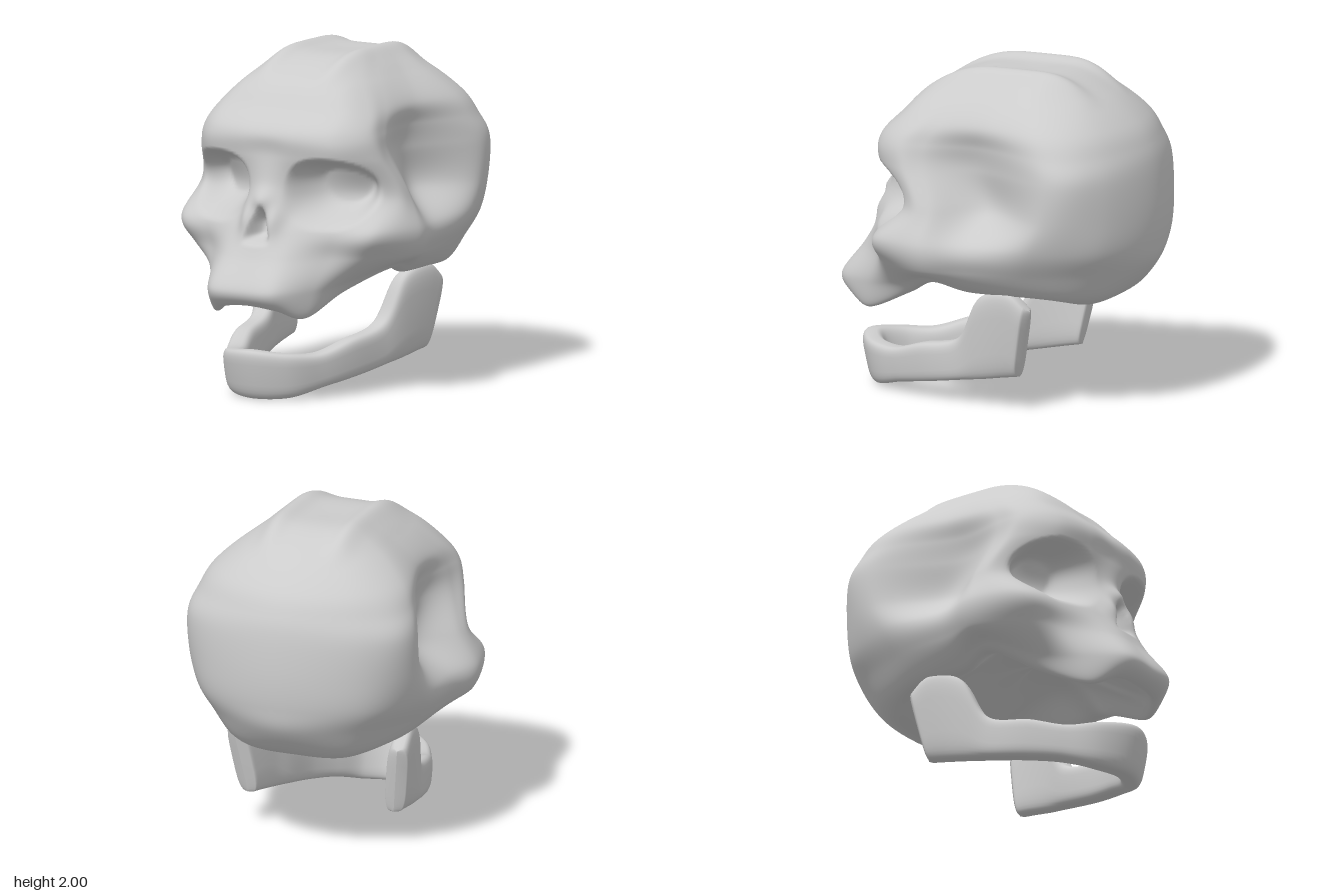
import * as THREE from 'three';

const material = new THREE.MeshStandardMaterial({ color: 0xcccccc, roughness: 0.8, side: THREE.DoubleSide });
const smooth = THREE.MathUtils.smoothstep;
const bell = (d, w) => Math.exp(-((d / w) ** 2));

// Horizontal half outlines of the skull, from the front midline round the side to the back
const craniumSections = [
  { y: 1.96, x: [0, .12, .2, .25, .26, .26, .24, .15, 0], z: [.13, .12, .09, .03, -.08, -.2, -.35, -.42, -.43] },
  { y: 1.85, x: [0, .18, .31, .38, .41, .42, .43, .29, 0], z: [.4, .4, .35, .24, .08, -.15, -.4, -.6, -.67] },
  { y: 1.7, x: [0, .2, .41, .51, .53, .54, .6, .41, 0], z: [.56, .56, .5, .36, .2, -.08, -.48, -.74, -.85] },
  { y: 1.57, x: [0, .2, .43, .57, .57, .52, .67, .47, 0], z: [.68, .68, .62, .46, .28, -.05, -.52, -.8, -.93] },
  { y: 1.43, x: [0, .2, .45, .61, .6, .5, .715, .51, 0], z: [.68, .68, .62, .44, .28, -.05, -.56, -.84, -.97] },
];
const faceSections = [
  { y: 1.2, x: [0, .2, .43, .66, .69, .52, .72, .51, 0], z: [.72, .64, .53, .36, .2, -.1, -.53, -.85, -.99] },
  { y: 1.0, x: [0, .2, .44, .68, .79, .72, .715, .5, 0], z: [.79, .74, .64, .55, .25, -.02, -.45, -.83, -.98] },
  { y: .85, x: [0, .2, .4, .6, .75, .7, .65, .44, 0], z: [.86, .83, .66, .53, .25, 0, -.4, -.78, -.94] },
];
// The rim and the underside follow a wavy height
const baseSections = [
  { y: [.66, .66, .66, .7, .79, .74, .71, .69, .69], x: [0, .22, .36, .46, .64, .6, .54, .36, 0], z: [.98, .96, .74, .5, .25, 0, -.4, -.71, -.8] },
  { y: [.57, .55, .5, .63, .75, .7, .7, .63, .62], x: [0, .19, .31, .38, .53, .48, .44, .28, 0], z: [.9, .88, .74, .45, .22, 0, -.35, -.6, -.64] },
  { y: [.62, .62, .62, .76, .86, .84, .77, .67, .65], x: [0, .13, .18, .22, .31, .29, .26, .15, 0], z: [.76, .75, .66, .4, .2, 0, -.22, -.43, -.48] },
];

// Grid surface: rows run along the form, columns close round it
function gridGeometry(rows, cols, pointAt) {
  const positions = [], index = [];
  for (let i = 0; i <= rows; i++) {
    for (let j = 0; j < cols; j++) positions.push(...pointAt(i / rows, j / cols));
  }
  for (let i = 0; i < rows; i++) {
    for (let j = 0; j < cols; j++) {
      const k = (j + 1) % cols;
      const a = i * cols + j, b = a + cols, c = i * cols + k, d = c + cols;
      index.push(a, b, c, c, b, d);
    }
  }
  const geometry = new THREE.BufferGeometry();
  geometry.setAttribute('position', new THREE.Float32BufferAttribute(positions, 3));
  geometry.setIndex(index);
  geometry.computeVertexNormals();
  return geometry;
}

function catmull(a, b, c, d, t) {
  return b + 0.5 * t * (c - a + t * (2 * a - 5 * b + 4 * c - d + t * (3 * (b - c) + d - a)));
}
const blend = (p, t) => [0, 1, 2].map((k) => catmull(p[0][k], p[1][k], p[2][k], p[3][k], t));

// Sockets, nose and crests pressed into the smooth skull
function sculpt([x, y, z]) {
  const ax = Math.abs(x);
  if (z > 0.2) {
    // Sharp under the brow, a gentle slope towards the cheek
    const ex = Math.abs(ax - 0.375) / 0.25;
    const ey = Math.abs(y - 1.225 - 0.03 * (0.38 - ax)) / 0.21;
    const edge = (ex ** 2.4 + ey ** 2.4) ** (1 / 2.4);
    const floor = 0.3 + 0.35 * smooth(y, 1.1, 1.42);
    z -= 0.2 * (1 - smooth(edge, floor, 1.04));
  }
  if (z > 0.5) {
    // Nasal bridge and rim, then the opening between them
    z += 0.04 * bell(x, 0.08) * bell(y - 1.18, 0.06);
    z += 0.04 * bell(ax - 0.1, 0.05) * bell(y - 1.08, 0.09);
    const half = Math.max(0.02, 0.1 * (1.2 - y) / 0.24);
    const inY = smooth(y, 0.91, 0.98) * (1 - smooth(y, 1.04, 1.16));
    z -= 0.11 * (1 - smooth(ax / half, 0.1, 1)) * inY;
  }
  // Paired crests along the crown
  y += 0.035 * bell(ax - 0.23, 0.07) * smooth(y, 1.8, 1.95);
  return [x, y, z];
}

function skullGeometry() {
  const sections = [...craniumSections, ...faceSections, ...baseSections];
  const half = 8, around = 16, last = sections.length + 1;
  const control = (i, j) => {
    // Past a pole the surface carries on down the opposite side
    if (i < 0) return control(-i, j + half);
    if (i > last) return control(2 * last - i, j + half);
    if (i === 0) return [0, 1.97, -0.16];
    if (i === last) return [0, 0.88, 0.16];
    j = (j + 2 * around) % around;
    const s = sections[i - 1], m = j > half ? around - j : j;
    return [j > half ? -s.x[m] : s.x[m], Array.isArray(s.y) ? s.y[m] : s.y, s.z[m]];
  };
  return gridGeometry(last * 13, around * 14, (v, u) => {
    const i = Math.min(Math.floor(v * last + 1e-9), last - 1), j = Math.floor(u * around + 1e-9);
    const tv = v * last - i, tu = u * around - j;
    const ring = [-1, 0, 1, 2].map((di) => blend([-1, 0, 1, 2].map((dj) => control(i + di, j + dj)), tu));
    return sculpt(blend(ring, tv));
  });
}

// Mirrored edge curve from right end, through the chin, to left end
function mirroredCurve(points) {
  const left = points.map((p) => new THREE.Vector3(...p));
  const right = left.slice(1).reverse().map((p) => new THREE.Vector3(-p.x, p.y, p.z));
  return new THREE.CatmullRomCurve3([...right, ...left]);
}

function jawGeometry() {
  const lower = mirroredCurve([
    [0, 0, .78], [.17, .01, .71], [.28, .06, .54], [.36, .1, .33], [.41, .14, .1],
    [.44, .165, -.06], [.455, .19, -.2], [.465, .205, -.29],
  ]);
  const upper = mirroredCurve([
    [0, .3, .85], [.18, .28, .76], [.28, .27, .58], [.36, .33, .38], [.41, .4, .11],
    [.47, .67, -.05], [.515, .72, -.24], [.525, .62, -.38],
  ]);
  const rows = 120;
  const power = (c) => Math.sign(c) * Math.abs(c) ** 0.55;
  return gridGeometry(rows, 32, (v, u) => {
    const bottom = lower.getPoint(v), top = upper.getPoint(v);
    const t = lower.getTangent(v).add(upper.getTangent(v)).setY(0).normalize();
    // Thickness rounds off to nothing at both ends
    const e = Math.min(1, Math.min(v, 1 - v) * rows / 4);
    const w = 0.068 * (1 - (1 - e) ** 4) ** 0.25 * power(Math.cos(u * 2 * Math.PI));
    const p = bottom.lerp(top, 0.5 + 0.5 * power(Math.sin(u * 2 * Math.PI)));
    return [p.x - t.z * w, p.y, p.z + t.x * w];
  });
}

export function createModel() {
  const group = new THREE.Group();
  for (const [name, geometry] of [['skull', skullGeometry()], ['lowerJaw', jawGeometry()]]) {
    const mesh = new THREE.Mesh(geometry, material);
    mesh.name = name;
    group.add(mesh);
  }
  return group;
}
